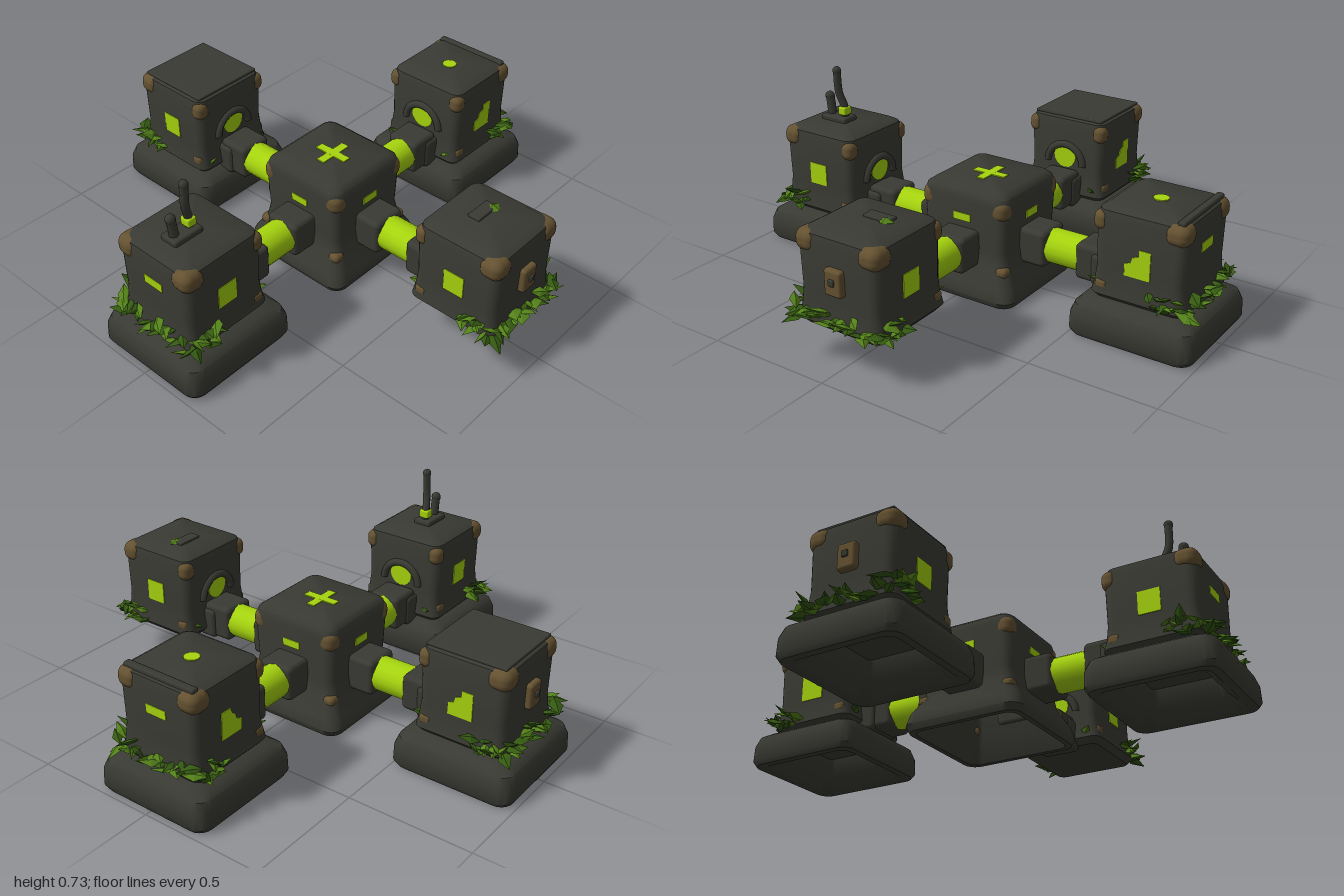
import * as THREE from 'three';
import { mergeGeometries, toCreasedNormals } from 'three/addons/utils/BufferGeometryUtils.js';
import { RoundedBoxGeometry } from 'three/addons/geometries/RoundedBoxGeometry.js';

const mat = (name, color, flatShading = false) => {
  const m = new THREE.MeshStandardMaterial({ color, flatShading });
  m.name = name;
  return m;
};
const metal = mat('darkMetal', 0x3a3a34);
const bronze = mat('rustyBronze', 0x655231);
const lime = mat('glowingLime', 0xa6d40e);
const leafDark = mat('darkLeaf', 0x355a12, true);
const leafLight = mat('lightLeaf', 0x54821a, true);

function add(parent, name, geometry, material, x = 0, y = 0, z = 0) {
  const mesh = new THREE.Mesh(geometry, material);
  mesh.name = name;
  mesh.position.set(x, y, z);
  parent.add(mesh);
  return mesh;
}
const box = (w, h, d, r = 0.01) => new RoundedBoxGeometry(w, h, d, 3, r);

// Loft through rounded squares, each given as [half width, height, corner radius]
function loft(sections) {
  const pos = [], index = [], steps = 5, n = 4 * (steps + 1);
  for (const [h, y, r] of sections) {
    for (let k = 0; k < 4; k++) {
      const mid = (k + 0.5) * Math.PI / 2;
      for (let s = 0; s <= steps; s++) {
        const t = (k + s / steps) * Math.PI / 2;
        pos.push(Math.sign(Math.cos(mid)) * (h - r) + r * Math.cos(t), y,
          Math.sign(Math.sin(mid)) * (h - r) + r * Math.sin(t));
      }
    }
  }
  for (let i = 0; i < sections.length - 1; i++) {
    for (let j = 0; j < n; j++) {
      const a = i * n + j, b = i * n + (j + 1) % n;
      index.push(a, a + n, b + n, a, b + n, b);
    }
  }
  const g = new THREE.BufferGeometry();
  g.setAttribute('position', new THREE.Float32BufferAttribute(pos, 3));
  g.setIndex(index);
  g.computeVertexNormals();
  return toCreasedNormals(g, 0.7);
}

const bodyGeo = loft([[0, 0.14, 0], [0.165, 0.14, 0.03], [0.188, 0.165, 0.04], [0.18, 0.21, 0.04],
  [0.175, 0.27, 0.04], [0.178, 0.455, 0.04], [0.17, 0.485, 0.04], [0.145, 0.5, 0.03], [0, 0.5, 0]]);
const baseGeo = loft([[0, 0.12, 0], [0.13, 0.12, 0.02], [0.15, 0.05, 0.03], [0.205, 0, 0.04],
  [0.236, 0, 0.05], [0.247, 0.02, 0.05], [0.245, 0.08, 0.05], [0.232, 0.118, 0.05],
  [0.205, 0.135, 0.05], [0.175, 0.148, 0.04], [0, 0.148, 0]]);
const hubGeo = loft([[0, 0.3, 0], [0.16, 0.3, 0.03], [0.175, 0.1, 0.03], [0.215, 0, 0.04],
  [0.236, 0, 0.05], [0.247, 0.025, 0.05], [0.236, 0.07, 0.05], [0.195, 0.14, 0.04], [0.185, 0.2, 0.04],
  [0.192, 0.38, 0.04], [0.184, 0.412, 0.04], [0.16, 0.43, 0.03], [0, 0.43, 0]]);

function plate(points) {
  const shape = new THREE.Shape(points.map(([x, y]) => new THREE.Vector2(x, y)));
  return new THREE.ExtrudeGeometry(shape, { depth: 0.006, bevelEnabled: false });
}
const squareWindow = plate([[-0.043, -0.045], [0.043, -0.045], [0.043, 0.045], [-0.043, 0.045]]);
const brokenWindow = plate([[-0.05, -0.055], [0.05, -0.055], [0.05, 0.055], [0.005, 0.055], [0.005, 0.03],
  [-0.02, 0.02], [-0.025, 0], [-0.05, -0.01]]);
const brokenWindowMirrored = plate([[0.05, -0.055], [0.05, -0.01], [0.025, 0], [0.02, 0.02], [0.005, 0.03],
  [-0.005, 0.055], [-0.05, 0.055], [-0.05, -0.055]]);
const slit = plate([[-0.045, -0.018], [0.045, -0.018], [0.045, 0.018], [-0.045, 0.018]]);

// Clumps of pointed leaves around the outward half of a module
function addLeaves(parent, seed) {
  let s = seed;
  const rnd = () => (s = (s * 16807) % 2147483647) / 2147483647;
  const sets = [[], []], dummy = new THREE.Object3D();
  const leaf = (x, y, z, dx, dy, dz, size) => {
    dummy.position.set(x, y, z);
    dummy.lookAt(x + dx, y + dy, z + dz);
    dummy.rotateZ((rnd() - 0.5) * 1.6);
    dummy.scale.set(0.026 * size, 0.009, 0.052 * size);
    dummy.updateMatrix();
    sets[rnd() < 0.55 ? 0 : 1].push(new THREE.OctahedronGeometry(1).applyMatrix4(dummy.matrix));
  };
  for (let i = 0; i < 20; i++) {
    const u = -0.18 + 0.36 * i / 19;
    leaf(u, 0.165 + rnd() * 0.055, 0.185 + rnd() * 0.02, (rnd() - 0.5) * 2.6, (rnd() - 0.4) * 0.8, 0.8, 0.7 + rnd() * 0.4);
  }
  for (const side of [-1, 1]) {
    for (let i = 0; i < 9; i++) {
      leaf(side * (0.185 + rnd() * 0.015), 0.16 + rnd() * 0.06, 0.06 + i * 0.015, side * 0.7,
        (rnd() - 0.4) * 0.8, (rnd() - 0.4) * 2, 0.6 + rnd() * 0.4);
    }
    leaf(side * 0.2, 0.22, 0.12, side, 0.5, 0.3, 1);
    leaf(side * 0.13, 0.19, -0.18, side * 0.5, 0.3, -0.5, 0.8);
  }
  add(parent, 'darkLeaves', mergeGeometries(sets[0]), leafDark);
  add(parent, 'lightLeaves', mergeGeometries(sets[1]), leafLight);
}

// One outer module in a frame whose +z points away from the hub
function makeModule(name, angle, hasBase, windows, outer, seed) {
  const arm = new THREE.Group();
  arm.name = name;
  arm.rotation.y = angle;

  // Link from the hub
  add(arm, 'hubStub', box(0.15, 0.145, 0.13, 0.02), metal, 0, 0.2, 0.23);
  add(arm, 'glowTube', new THREE.CylinderGeometry(0.069, 0.069, 0.17, 16).rotateX(Math.PI / 2), lime, 0, 0.2, 0.36);
  add(arm, 'tubeCollar', box(0.145, 0.145, 0.14, 0.02), metal, 0, 0.2, 0.495);
  add(arm, 'collarFlange', box(0.165, 0.13, 0.09, 0.02), metal, 0, 0.187, 0.54);

  const mod = new THREE.Group();
  mod.name = 'module';
  mod.position.z = hasBase ? 0.738 : 0.725;
  arm.add(mod);
  add(mod, 'body', bodyGeo, metal);
  if (hasBase) add(mod, 'hollowBase', baseGeo, metal);

  // Rusty corner caps
  for (const side of [-1, 1]) {
    add(mod, 'outerCornerCap', box(0.095, 0.085, 0.095, 0.036), bronze, side * 0.137, 0.452, 0.137);
    add(mod, 'innerCornerCap', box(0.06, 0.075, 0.06, 0.027), bronze, side * 0.153, 0.442, -0.153);
    add(mod, 'lowerRustPatch', box(0.035, 0.04, 0.05, 0.015), bronze, side * 0.167, 0.2, -0.14);
  }

  // Windows on both flanks, inner arch with window
  [1, -1].forEach((side, i) => {
    const w = add(mod, 'sideWindow', windows[i], lime, side * 0.173, 0.315, 0);
    w.rotation.y = side * Math.PI / 2;
  });
  add(mod, 'innerWindow', new THREE.CylinderGeometry(0.052, 0.052, 0.008, 16).rotateX(Math.PI / 2), lime, 0, 0.325, -0.176);
  add(mod, 'innerArch', new THREE.TorusGeometry(0.085, 0.016, 8, 20, Math.PI), metal, 0, 0.29, -0.176);

  // Outward face
  if (outer === 'panel') {
    add(mod, 'rustPanel', box(0.075, 0.1, 0.04, 0.012), bronze, 0, 0.34, 0.18);
    add(mod, 'panelKnob', box(0.025, 0.025, 0.012, 0.005), metal, 0, 0.345, 0.202);
  } else {
    add(mod, 'outerSlit', slit, lime, 0, 0.373, 0.173);
  }
  addLeaves(mod, seed);
  return arm;
}

function rod(points, radius) {
  const curve = new THREE.CatmullRomCurve3(points.map(p => new THREE.Vector3(...p)));
  return new THREE.TubeGeometry(curve, 12, radius, 8);
}

export function createModel() {
  const model = new THREE.Group();
  model.name = 'modularOutpost';

  // Central hub
  add(model, 'hub', hubGeo, metal);
  add(model, 'crossBar', box(0.145, 0.006, 0.036, 0.002), lime, 0, 0.431, 0);
  add(model, 'crossBar', box(0.036, 0.006, 0.145, 0.002), lime, 0, 0.4315, 0);
  for (let k = 0; k < 4; k++) {
    const side = new THREE.Group();
    side.name = 'hubSide';
    side.rotation.y = k * Math.PI / 2;
    model.add(side);
    add(side, 'hubSlit', slit, lime, 0, 0.315, 0.187).scale.set(0.85, 0.85, 1);
    add(side, 'hubCornerCap', box(0.075, 0.085, 0.075, 0.034), bronze, 0.156, 0.365, 0.156);
    add(side, 'hubRustPatch', box(0.05, 0.04, 0.05, 0.018), bronze, 0.18, 0.125, 0.18);
  }

  // Four outer modules
  const h = Math.PI / 2;
  const front = makeModule('frontModule', 0, false, [squareWindow, squareWindow], 'panel', 11);
  const left = makeModule('leftModule', h, true, [brokenWindow, brokenWindowMirrored], 'slit', 227);
  const back = makeModule('backModule', 2 * h, true, [squareWindow, brokenWindowMirrored], 'panel', 3301);
  const right = makeModule('rightModule', -h, true, [squareWindow, squareWindow], 'slit', 48017);
  // Broken panes rise towards the outward side
  left.getObjectByName('module').children.concat(back.getObjectByName('module').children).forEach(c => {
    if (c.geometry === brokenWindow) c.geometry = brokenWindowMirrored;
    else if (c.geometry === brokenWindowMirrored) c.geometry = brokenWindow;
  });
  model.add(front, left, back, right);

  // Roof details
  add(model, 'roofRidge', box(0.32, 0.022, 0.03, 0.008), metal, 0.885, 0.495, 0).rotation.y = h;
  add(model, 'roofLight', new THREE.CylinderGeometry(0.03, 0.03, 0.008, 10), lime, 0.73, 0.5, 0);
  add(model, 'roofSprout', new THREE.OctahedronGeometry(1), leafLight, 0.06, 0.503, 0.705).scale.set(0.035, 0.014, 0.03);
  add(model, 'roofHatch', box(0.11, 0.014, 0.05, 0.005), metal, 0.02, 0.503, 0.69);
  add(model, 'roofCap', box(0.32, 0.012, 0.32, 0.005), metal, 0, 0.496, -0.738);

  // Antennas
  add(model, 'antennaFoot', box(0.13, 0.03, 0.08, 0.01), metal, -0.77, 0.505, 0);
  add(model, 'tallAntenna', rod([[-0.735, 0.49, 0], [-0.738, 0.56, 0], [-0.755, 0.62, 0.01], [-0.757, 0.715, 0.015]], 0.016), metal);
  add(model, 'tallAntennaTip', new THREE.SphereGeometry(0.018, 10, 8), metal, -0.757, 0.715, 0.015);
  add(model, 'shortAntenna', rod([[-0.805, 0.49, 0], [-0.808, 0.54, 0], [-0.815, 0.595, 0]], 0.018), metal);
  add(model, 'shortAntennaTip', new THREE.SphereGeometry(0.02, 10, 8), metal, -0.815, 0.593, 0);
  add(model, 'antennaLight', box(0.04, 0.036, 0.045, 0.008), lime, -0.737, 0.543, 0);
  return model;
}
